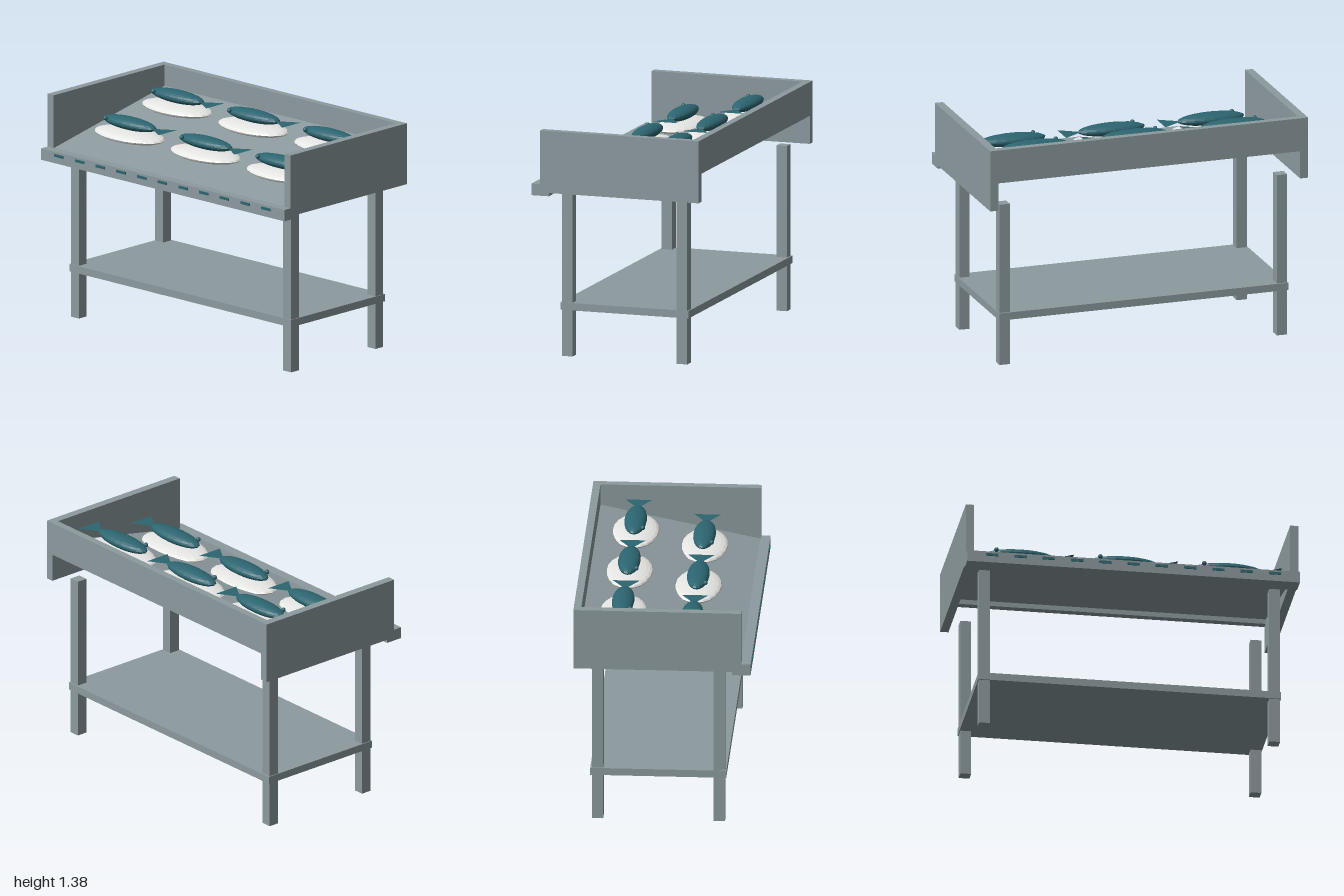
import * as THREE from 'three';

export function createModel() {
  const root = new THREE.Group();
  const metal = new THREE.MeshStandardMaterial({ color: 0x8c9a9e });
  metal.name = 'grey metal';
  const ice = new THREE.MeshStandardMaterial({ color: 0xe8e8e6 });
  ice.name = 'white dish';
  const teal = new THREE.MeshStandardMaterial({ color: 0x2c6570 });
  teal.name = 'dark teal';
  const tealThin = new THREE.MeshStandardMaterial({ color: 0x2c6570, side: THREE.DoubleSide });
  tealThin.name = 'dark teal thin';

  const add = (parent, name, geometry, material, x = 0, y = 0, z = 0) => {
    const mesh = new THREE.Mesh(geometry, material);
    mesh.name = name;
    mesh.position.set(x, y, z);
    parent.add(mesh);
    return mesh;
  };

  // Box given by its limits on each axis
  const box = (name, [x0, x1], [y0, y1], [z0, z1], material = metal) =>
    add(root, name, new THREE.BoxGeometry(x1 - x0, y1 - y0, z1 - z0), material,
      (x0 + x1) / 2, (y0 + y1) / 2, (z0 + z1) / 2);

  // Faceted ellipsoid
  const ellipsoid = (rx, ry, rz, w, h) => {
    const g = new THREE.SphereGeometry(1, w, h).scale(rx, ry, rz).toNonIndexed();
    g.computeVertexNormals();
    return g;
  };

  // Legs and lower shelf
  for (const s of [-1, 1]) {
    const x = s < 0 ? [-0.905, -0.84] : [0.84, 0.905];
    box('frontLeg', x, [0, 1], [0.3, 0.367]);
    box('backLeg', x, [0, 1], [-0.425, -0.358]);
  }
  box('shelf', [-0.91, 0.91], [0.28, 0.325], [-0.435, 0.375]);

  // Walls and front lip
  box('rightWall', [-1, -0.95], [1, 1.375], [-0.53, 0.47]);
  box('leftWall', [0.95, 1], [1, 1.375], [-0.53, 0.47]);
  box('backWall', [-0.95, 0.95], [1.17, 1.375], [-0.53, -0.485]);
  box('frontLip', [-1, 1], [0.98, 1.05], [0.415, 0.525]);

  // Sloping tray, extruded across from its side profile
  const profile = new THREE.Shape();
  profile.moveTo(-0.465, 1.05);
  profile.lineTo(0.486, 1.245);
  profile.lineTo(0.486, 1.2);
  profile.lineTo(-0.465, 1.005);
  profile.closePath();
  const trayGeo = new THREE.ExtrudeGeometry(profile, { depth: 1.9, bevelEnabled: false });
  trayGeo.translate(0, 0, -0.95).rotateY(Math.PI / 2);
  add(root, 'tray', trayGeo, metal);

  // Slots along the lip
  for (let i = -5; i <= 5; i++) {
    box('lipSlot', [i * 0.17 - 0.037, i * 0.17 + 0.037], [1.021, 1.037], [0.522, 0.53], teal);
  }

  // Dishes with fish
  const dishGeo = ellipsoid(0.257, 0.034, 0.142, 20, 12);
  const bodyGeo = ellipsoid(0.21, 0.037, 0.067, 20, 12);
  const eyeGeo = new THREE.SphereGeometry(0.014, 10, 8);
  const tailShape = new THREE.Shape([
    new THREE.Vector2(0.185, 0), new THREE.Vector2(0.312, -0.08), new THREE.Vector2(0.312, 0.08),
  ]);
  const tailGeo = new THREE.ShapeGeometry(tailShape).rotateX(-Math.PI / 2);
  for (const [y, z] of [[1.131, 0.154], [1.215, -0.256]]) {
    for (const x of [-0.625, 0, 0.625]) {
      const serving = new THREE.Group();
      serving.name = 'fishServing';
      serving.position.set(x, y, z);
      add(serving, 'dish', dishGeo, ice);
      add(serving, 'fishBody', bodyGeo, teal, 0, 0.072, 0);
      add(serving, 'fishTail', tailGeo, tealThin, 0, 0.072, 0);
      add(serving, 'fishEye', eyeGeo, teal, -0.15, 0.085, 0.051);
      root.add(serving);
    }
  }
  return root;
}
